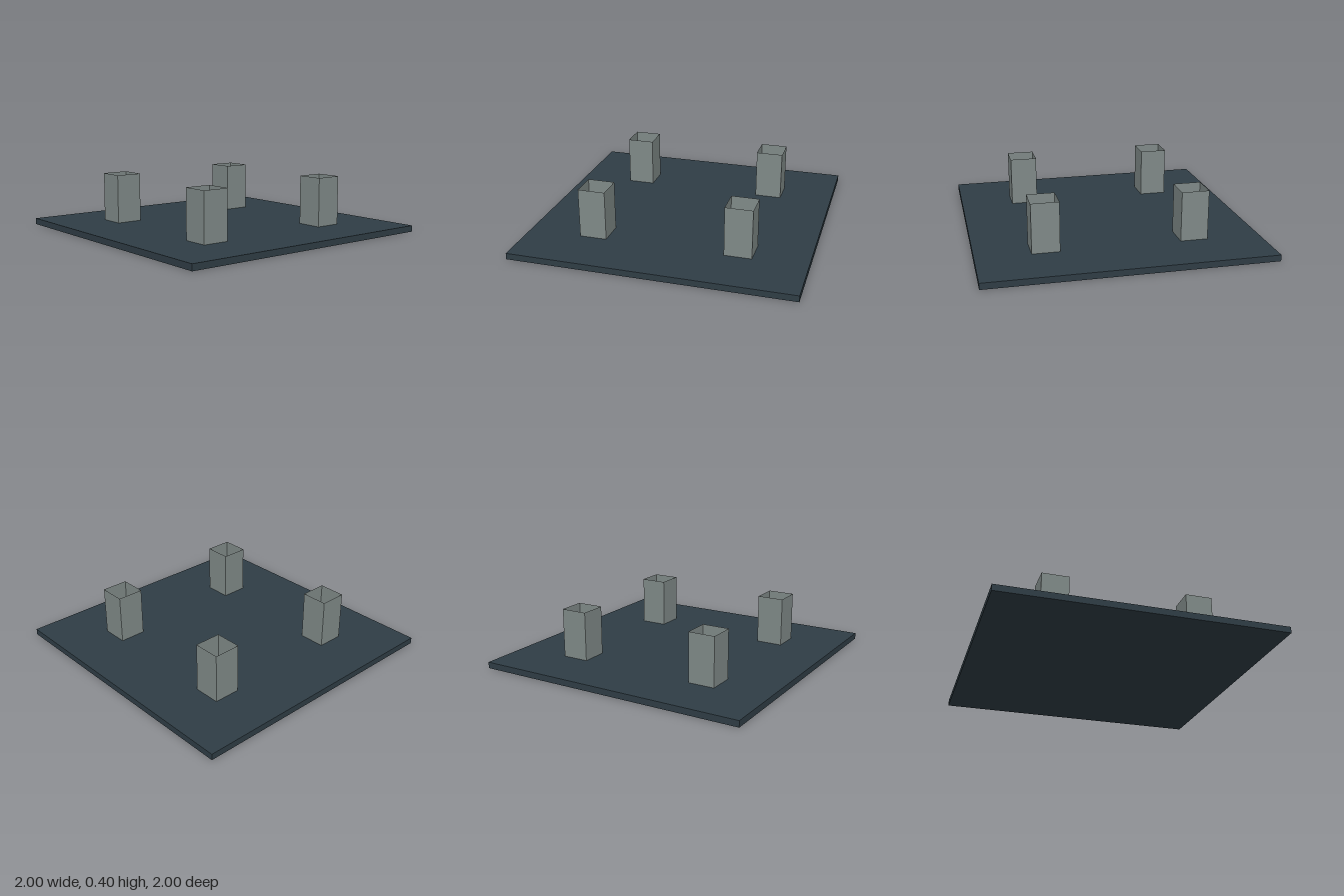
import * as THREE from 'three';

const PLATE = 0.045, TOP = 0.4, TUBE = 0.194, OFFSET = 0.52;

export function createModel() {
  const model = new THREE.Group();
  model.name = 'plateWithSockets';

  // Thin square ground plate
  const plate = new THREE.Mesh(
    new THREE.BoxGeometry(2, PLATE, 2),
    new THREE.MeshStandardMaterial({ color: 0x2f3d45 })
  );
  plate.name = 'basePlate';
  plate.position.y = PLATE / 2;
  model.add(plate);

  // Four thin-walled square tubes, open at the top
  const height = TOP - PLATE;
  const radius = TUBE / Math.SQRT2;
  const tubeGeometry = new THREE.CylinderGeometry(radius, radius, height, 4, 1, true)
    .rotateY(Math.PI / 4);
  const tubeMaterial = new THREE.MeshStandardMaterial({
    color: 0x808a88, flatShading: true, side: THREE.DoubleSide,
  });
  for (const [zName, z] of [['front', 1], ['back', -1]]) {
    for (const [xName, x] of [['Left', 1], ['Right', -1]]) {
      const tube = new THREE.Mesh(tubeGeometry, tubeMaterial);
      tube.name = `${zName}${xName}Tube`;
      tube.position.set(x * OFFSET, PLATE + height / 2, z * OFFSET);
      model.add(tube);
    }
  }
  return model;
}
